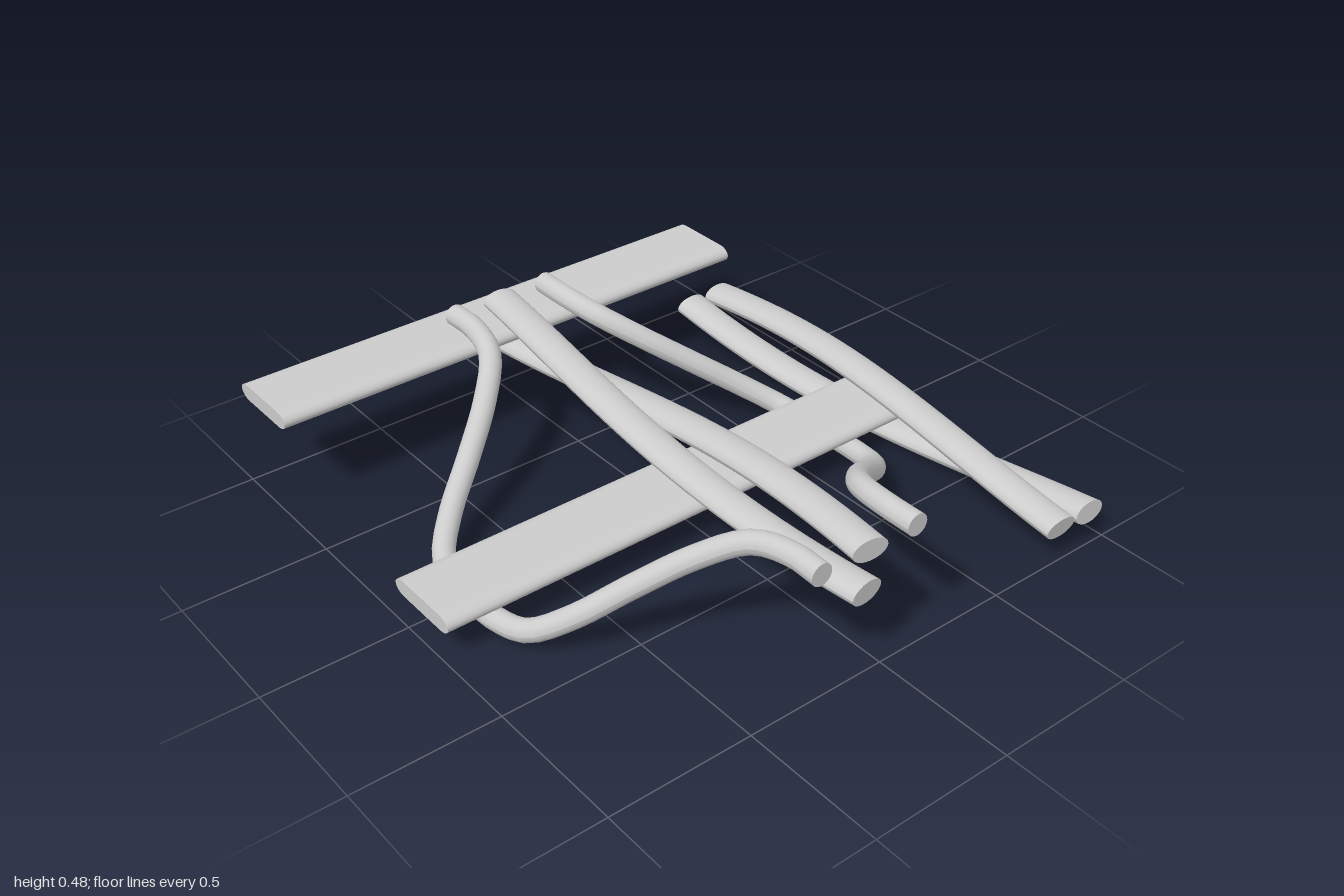
import * as THREE from 'three';

const X0 = -0.85, X1 = 0.99, MID = (X0 + X1) / 2;
const material = new THREE.MeshStandardMaterial({ color: 0xcccccc });

// Sweep an upright elliptical section along a curve, with flat end caps.
function sweep(curve, ry, rz, steps = 48, sides = 20) {
  const pos = [], index = [];
  const worldUp = new THREE.Vector3(0, 1, 0);
  const ring = (t) => {
    const c = curve.getPointAt(t), tan = curve.getTangentAt(t);
    const side = tan.clone().cross(worldUp).normalize();
    const up = side.clone().cross(tan);
    for (let j = 0; j <= sides; j++) {
      const a = (j % sides) / sides * Math.PI * 2;
      const p = c.clone().addScaledVector(side, Math.cos(a) * rz).addScaledVector(up, Math.sin(a) * ry);
      pos.push(p.x, p.y, p.z);
    }
    return c;
  };
  for (let i = 0; i <= steps; i++) ring(i / steps);
  const n = sides + 1;
  for (let i = 0; i < steps; i++) {
    for (let j = 0; j < sides; j++) {
      const a = i * n + j, b = a + n;
      index.push(a, b, b + 1, a, b + 1, a + 1);
    }
  }
  // end caps on their own vertices, so the rims stay sharp
  for (const t of [0, 1]) {
    const first = pos.length / 3;
    const c = ring(t);
    const centre = pos.length / 3;
    pos.push(c.x, c.y, c.z);
    for (let j = 0; j < sides; j++) {
      const a = first + j;
      if (t === 0) index.push(centre, a, a + 1);
      else index.push(centre, a + 1, a);
    }
  }
  const geo = new THREE.BufferGeometry();
  geo.setAttribute('position', new THREE.Float32BufferAttribute(pos, 3));
  geo.setIndex(index);
  geo.computeVertexNormals();
  return geo;
}

function addMesh(group, name, geometry) {
  const mesh = new THREE.Mesh(geometry, material);
  mesh.name = name;
  group.add(mesh);
  return mesh;
}

// Two strands that make half a turn around each other.
function twistedPair(name, y, z, startAngle) {
  const pair = new THREE.Group();
  pair.name = name;
  for (let k = 0; k < 2; k++) {
    const points = [];
    for (let i = 0; i <= 16; i++) {
      const t = i / 16, a = startAngle + Math.PI * (k - t);
      points.push(new THREE.Vector3(
        X0 + (X1 - X0) * t, y + 0.075 * Math.sin(a), z + 0.068 * Math.cos(a)));
    }
    addMesh(pair, 'twistedStrand' + (k + 1), sweep(new THREE.CatmullRomCurve3(points), 0.037, 0.063));
  }
  return pair;
}

// Strand that dips in a sloping plane; rows are [distance from middle, fraction of dip].
function dippedStrand(zEnd, zMiddle) {
  const half = [[0.92, 0], [0.8, 0], [0.66, 0.06], [0.54, 0.25], [0.43, 0.51],
    [0.33, 0.77], [0.23, 0.94], [0.12, 0.99]];
  const rows = [
    ...half.map(([d, f]) => [-d, f]), [0, 1],
    ...half.slice().reverse(),
  ];
  const curve = new THREE.CatmullRomCurve3(rows.map(([d, f]) => new THREE.Vector3(
    MID + d, 0.447 - 0.402 * f, zEnd + (zMiddle - zEnd) * f)));
  return sweep(curve, 0.038, 0.038, 56);
}

// Long flat strap with rounded edges.
function strapGeometry() {
  const w = 0.145, r = 0.029, e = 0.045;
  const shape = new THREE.Shape();
  shape.moveTo(-w + e, -r);
  shape.lineTo(w - e, -r);
  shape.absellipse(w - e, 0, e, r, -Math.PI / 2, Math.PI / 2);
  shape.lineTo(-w + e, r);
  shape.absellipse(-w + e, 0, e, r, Math.PI / 2, Math.PI * 1.5);
  return new THREE.ExtrudeGeometry(shape, { depth: 1.84, bevelEnabled: false, curveSegments: 12 });
}

export function createModel() {
  const model = new THREE.Group();
  model.name = 'wovenUnit';

  // straps running front to back
  addMesh(model, 'upperStrap', strapGeometry()).position.set(-0.855, 0.367, -0.853);
  addMesh(model, 'lowerStrap', strapGeometry()).position.set(0.068, 0.128, -0.853);

  // twisted strands running across
  model.add(twistedPair('middleTwistedPair', 0.37, 0.066, Math.PI / 2));
  model.add(twistedPair('backTwistedPair', 0.125, -0.86, Math.PI));

  // strands dipping under the lower strap
  addMesh(model, 'frontDippedStrand', dippedStrand(0.25, 0.8));
  addMesh(model, 'backDippedStrand', dippedStrand(-0.12, -0.675));
  return model;
}
